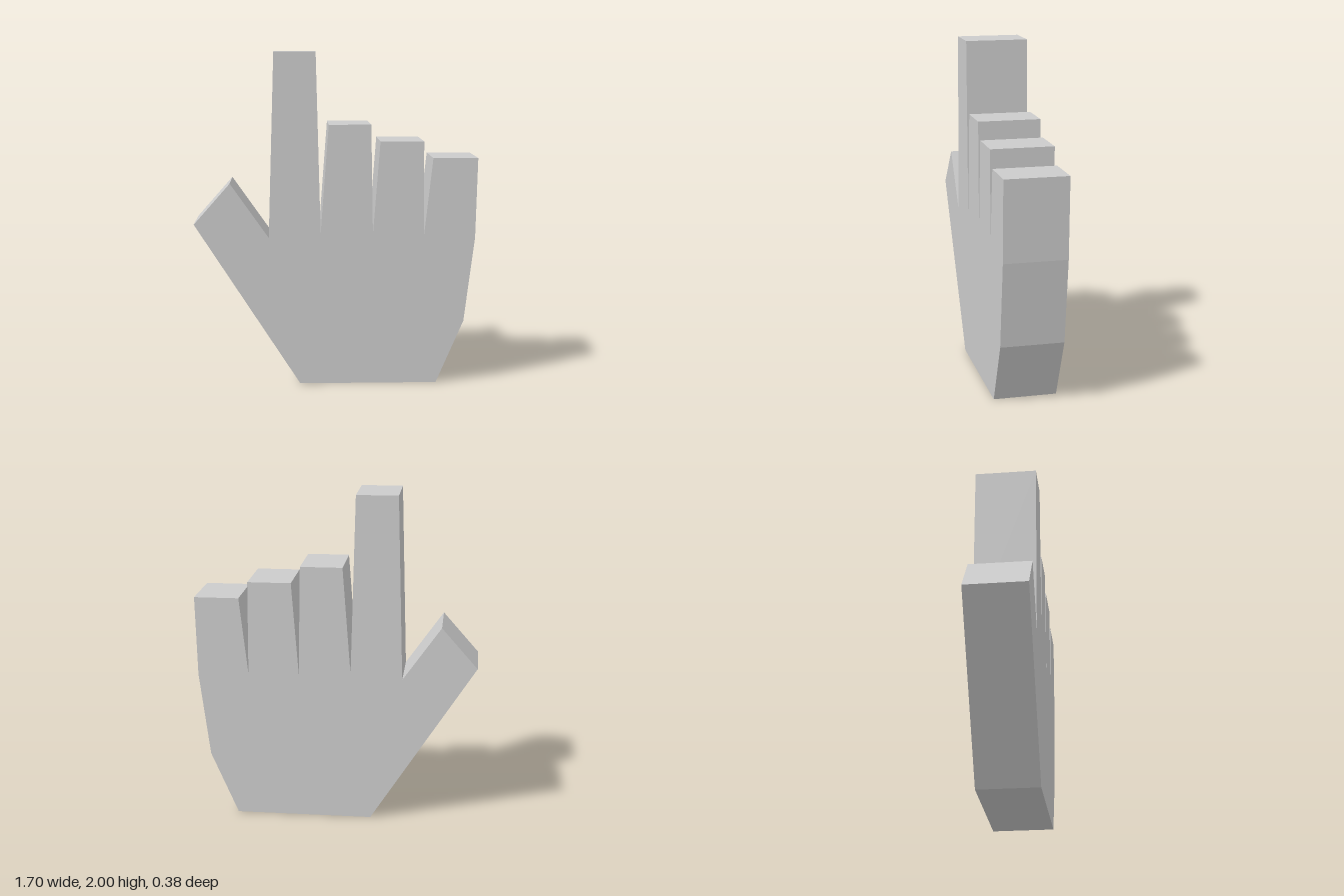
import * as THREE from 'three';

const DEPTH = 0.376;

// Hand outline, counter-clockwise from the wrist
const wristAndOuterPalm = [[-0.217, 0], [0.607, 0], [0.772, 0.38], [0.836, 0.89]];
const littleFinger = [[0.848, 1.37], [0.58, 1.37], [0.528, 0.903]];
const ringFinger = [[0.524, 1.47], [0.264, 1.47], [0.221, 0.91]];
const middleFinger = [[0.209, 1.57], [-0.043, 1.57], [-0.092, 0.918]];
const indexFinger = [[-0.12, 2], [-0.368, 2], [-0.402, 0.895]];
const thumb = [[-0.632, 1.222], [-0.848, 0.977]];

export function createModel() {
  const group = new THREE.Group();
  group.name = 'pointingHand';

  const outline = [
    ...wristAndOuterPalm, ...littleFinger, ...ringFinger,
    ...middleFinger, ...indexFinger, ...thumb,
  ].map(([x, y]) => new THREE.Vector2(x, y));

  // Flat slab hand with straight sides
  const geometry = new THREE.ExtrudeGeometry(new THREE.Shape(outline), {
    depth: DEPTH, bevelEnabled: false,
  });
  geometry.translate(0, 0, -DEPTH / 2);

  const hand = new THREE.Mesh(
    geometry,
    new THREE.MeshStandardMaterial({ color: 0xcccccc, flatShading: true }),
  );
  hand.name = 'hand';
  group.add(hand);
  return group;
}
